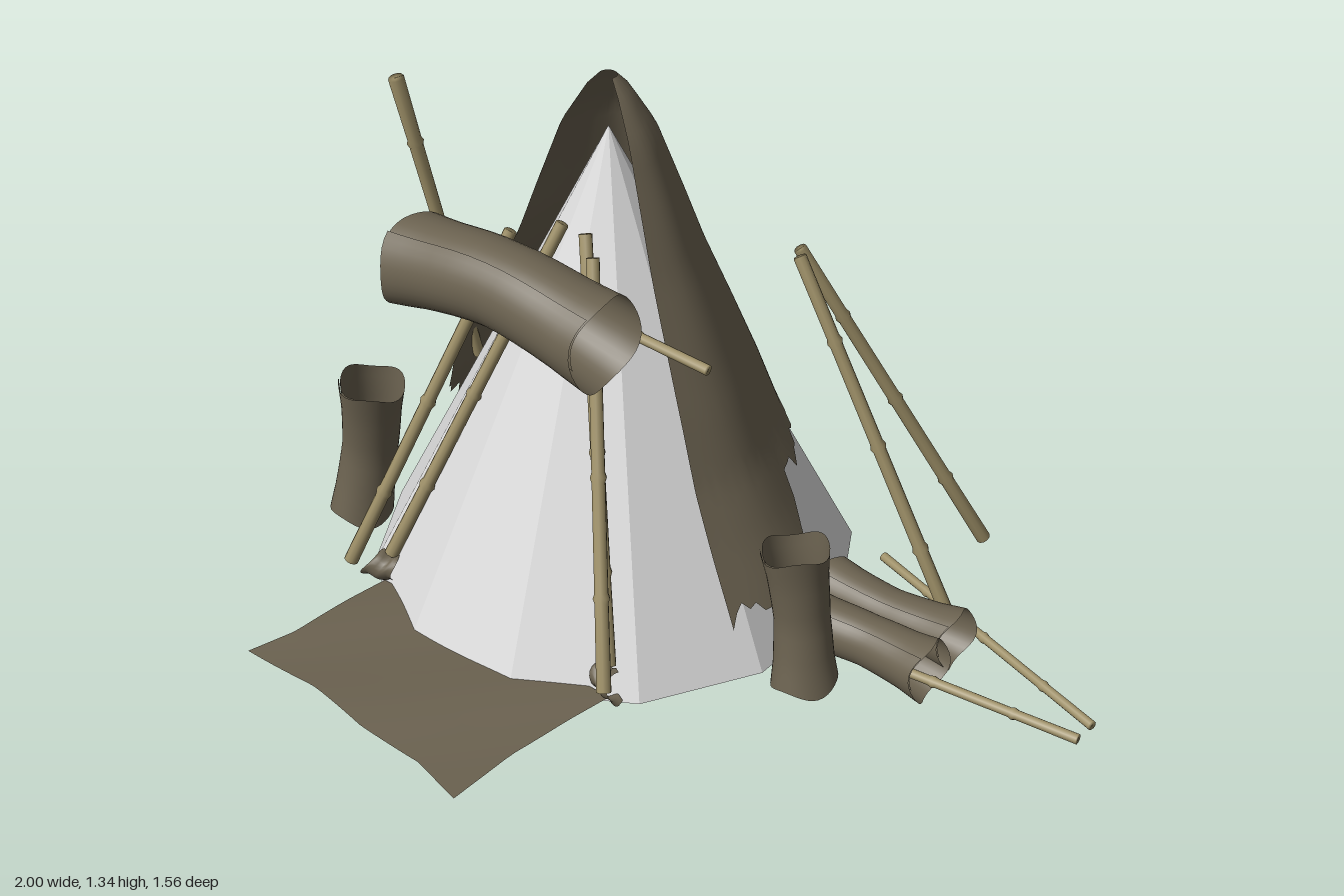
import * as THREE from 'three';

const hide = new THREE.MeshStandardMaterial({ color: 0x6b6250, side: THREE.DoubleSide });
hide.name = 'hide';
const wood = new THREE.MeshStandardMaterial({ color: 0x9e9068 });
wood.name = 'wood';
const plaster = new THREE.MeshStandardMaterial({ color: 0xd9d9d9 });
plaster.name = 'pale plaster';

const V = (a) => new THREE.Vector3(...a);

// Linear interpolation in a table of [key, value] pairs with rising keys
function lookup(table, k) {
  for (let i = 1; i < table.length; i++) {
    const [k0, v0] = table[i - 1], [k1, v1] = table[i];
    if (k <= k1) return THREE.MathUtils.lerp(v0, v1, Math.max(0, (k - k0) / (k1 - k0)));
  }
  return table[table.length - 1][1];
}

// A cloth surface: fn(u, v) returns a point, with u and v from 0 to 1
function sheet(name, nu, nv, fn) {
  const geo = new THREE.PlaneGeometry(1, 1, nu, nv);
  const p = geo.attributes.position;
  for (let i = 0; i < p.count; i++) {
    const q = fn(p.getX(i) + 0.5, 0.5 - p.getY(i));
    p.setXYZ(i, q.x, q.y, q.z);
  }
  geo.computeVertexNormals();
  const mesh = new THREE.Mesh(geo, hide);
  mesh.name = name;
  return mesh;
}

// Tapered stick with knots, from a to b
function pole(name, a, b, ra = 0.018, rb = 0.016) {
  const start = V(a), dir = V(b).sub(start), len = dir.length();
  const pts = [new THREE.Vector2(0, 0)];
  const add = (t, k) => pts.push(new THREE.Vector2(THREE.MathUtils.lerp(ra, rb, t) * k, t * len));
  add(0, 1);
  for (const t of [0.22, 0.5, 0.78]) {
    add(t - 0.012, 0.95);
    add(t, 1.18);
    add(t + 0.012, 0.95);
  }
  add(1, 1);
  pts.push(new THREE.Vector2(0, len));
  const mesh = new THREE.Mesh(new THREE.LatheGeometry(pts, 10), wood);
  mesh.position.copy(start);
  mesh.quaternion.setFromUnitVectors(new THREE.Vector3(0, 1, 0), dir.normalize());
  mesh.name = name;
  return mesh;
}

// Rolled hide: an overlapping spiral around a bowed axis with ragged ends
function roll(name, a, mid, b, r0, r1, r2) {
  const curve = new THREE.CatmullRomCurve3([V(a), V(mid), V(b)]);
  const axis = V(b).sub(V(a)).normalize();
  const side = new THREE.Vector3(-axis.y, axis.x, 0).normalize();
  const other = new THREE.Vector3().crossVectors(axis, side);
  return sheet(name, 44, 12, (u, v) => {
    const ang = u * Math.PI * 2.35 + 0.6;
    const r = lookup([[0, r0], [0.18, r1 + (r0 - r1) * 0.4], [0.5, r1], [0.82, r1 + (r2 - r1) * 0.4], [1, r2]], v)
      * (1.02 - 0.07 * u);
    const ragged = (v - 0.5) * 0.02 * Math.sin(ang * 3 + v);
    return curve.getPoint(v)
      .addScaledVector(side, Math.cos(ang) * r)
      .addScaledVector(other, Math.sin(ang) * r)
      .addScaledVector(axis, ragged);
  });
}

export function createModel() {
  const g = new THREE.Group();
  g.name = 'tent';
  const cx = -0.33, cz = -0.185;

  // Twelve-sided inner cone with flat sides facing the axes
  const coneGeo = new THREE.ConeGeometry(0.603, 1.21, 12).rotateY(Math.PI / 12).toNonIndexed();
  coneGeo.computeVertexNormals();
  const cone = new THREE.Mesh(coneGeo, plaster);
  cone.position.set(cx, 0.605, cz);
  cone.name = 'innerCone';
  g.add(cone);

  // Draped cover, open at the front; angle 0 is the back, + is towards +x
  const hem = [[-115, 0.42], [-100, 0.3], [-85, 0.17], [-60, 0.32], [-45, 0.42], [-20, 0.5],
    [20, 0.46], [45, 0.44], [57, 0.35], [74, 0.33], [82, 0.18], [115, 0.14]];
  const radius = [[0.1, 0.57], [0.17, 0.535], [0.28, 0.475], [0.42, 0.405], [0.58, 0.348], [0.74, 0.285],
    [0.9, 0.22], [1.03, 0.175], [1.21, 0.11], [1.31, 0.05], [1.34, 0.022]];
  g.add(sheet('cover', 110, 32, (u, v) => {
    const s = u * 2 - 1;
    const deg = s * 115;
    const jag = 0.018 * Math.sin(deg * 0.47) + 0.012 * Math.sin(deg * 1.13 + 1);
    const y = THREE.MathUtils.lerp(1.34, lookup(hem, deg) + jag, v);
    // the opening is slightly narrower low down, and the left flank billows
    const a = THREE.MathUtils.degToRad(s * (116 - 6 * v));
    const billow = s < 0 ? 0.04 * Math.sin(-s * Math.PI * 0.7) * Math.exp(-(((y - 0.58) / 0.16) ** 2)) : 0;
    const r = lookup(radius, y) + billow + 0.006 * v * Math.sin(a * 9);
    return new THREE.Vector3(cx + Math.sin(a) * r, y, cz - Math.cos(a) * r);
  }));

  // Entrance poles leaning on the cone
  g.add(
    pole('entrancePoleOuterRight', [-0.72, 0.1, 0.35], [-0.42, 1.01, 0.06]),
    pole('entrancePoleInnerRight', [-0.67, 0.09, 0.26], [-0.36, 1.0, -0.05]),
    pole('entrancePoleOuterLeft', [0.08, 0.1, 0.35], [-0.21, 1.0, 0.02]),
    pole('entrancePoleInnerLeft', [0.02, 0.09, 0.26], [-0.29, 1.0, -0.05]),
    pole('crossbar', [-0.79, 0.875, 0.025], [0.13, 0.845, 0.033], 0.013, 0.013),
    pole('tallPole', [-0.73, 0.44, -0.15], [-0.81, 1.25, 0.003], 0.014, 0.019),
    pole('backPoleInner', [0.39, 0.03, -0.765], [0.04, 0.905, -0.43]),
    pole('backPoleOuter', [0.53, 0.03, -0.42], [0.085, 0.93, -0.367]),
    pole('groundPoleBack', [0.25, 0.045, -0.53], [0.995, 0.055, -0.295], 0.012, 0.012),
    pole('groundPoleFront', [0.245, 0.045, -0.17], [0.995, 0.055, -0.235], 0.013, 0.013),
  );

  // Rolled hides
  g.add(
    roll('hangingRoll', [-0.62, 0.92, 0.175], [-0.34, 0.955, 0.175], [-0.045, 0.915, 0.175], 0.118, 0.103, 0.118),
    roll('standingRollRight', [-0.925, 0.025, 0.1], [-0.9, 0.22, 0.08], [-0.865, 0.425, 0.095], 0.08, 0.07, 0.082),
    roll('standingRollLeft', [0.375, 0.045, -0.03], [0.355, 0.22, -0.04], [0.335, 0.405, -0.033], 0.08, 0.066, 0.08),
    roll('lyingRollBack', [0.24, 0.09, -0.315], [0.42, 0.09, -0.31], [0.605, 0.097, -0.32], 0.074, 0.062, 0.077),
    roll('lyingRollFront', [0.26, 0.09, -0.175], [0.44, 0.09, -0.195], [0.62, 0.095, -0.185], 0.074, 0.064, 0.08),
  );

  // Ground mat in front of the entrance
  g.add(sheet('mat', 24, 14, (u, v) => {
    const left = lookup([[0, -0.67], [0.3, -0.685], [0.7, -0.7], [1, -0.74]], v);
    const right = lookup([[0, 0.045], [0.25, 0.02], [0.6, -0.005], [1, -0.005]], v);
    const front = lookup([[0, 0.69], [0.3, 0.69], [0.55, 0.725], [0.8, 0.73], [1, 0.775]], u);
    return new THREE.Vector3(
      THREE.MathUtils.lerp(left, right, u),
      0.025 + 0.004 * Math.sin(u * 9 + v * 4),
      THREE.MathUtils.lerp(0.29, front, v),
    );
  }));

  // Curled scraps at the feet of the entrance poles
  for (const [name, x, dir] of [['scrapRight', -0.68, 1], ['scrapLeft', 0.025, -1]]) {
    g.add(sheet(name, 12, 6, (u, v) => {
      const a = Math.PI * (0.45 + u * 1.1);
      const w = (v - 0.5) * (0.05 + 0.05 * u);
      return new THREE.Vector3(
        x + dir * (w + 0.01 * Math.sin(u * 7)),
        0.05 + 0.036 * Math.sin(a) + 0.006 * Math.sin(v * 9),
        0.26 - 0.045 * Math.cos(a) - dir * 0.3 * w * dir,
      );
    }));
  }
  return g;
}
